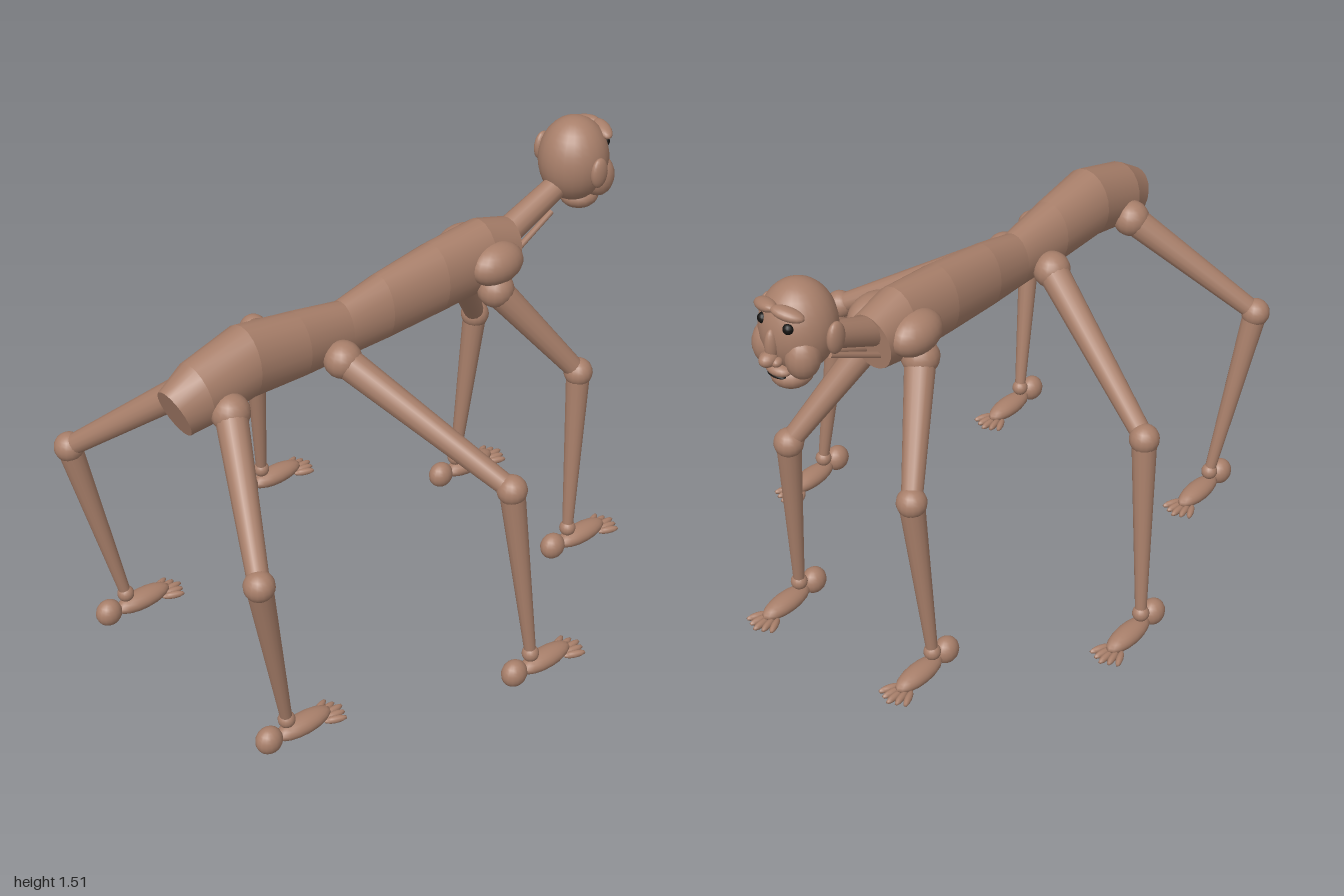
import * as THREE from 'three';

const skin = new THREE.MeshStandardMaterial({ color: 0xa87f6a });
skin.name = 'skin';
const dark = new THREE.MeshStandardMaterial({ color: 0x141210 });
dark.name = 'dark';

const V = (a) => new THREE.Vector3(...a);

function add(parent, name, geometry, material = skin) {
  const mesh = new THREE.Mesh(geometry, material);
  mesh.name = name;
  parent.add(mesh);
  return mesh;
}

// Ellipsoid with radii r at position p
function blob(parent, name, p, r, material = skin, seg = 16) {
  const mesh = add(parent, name, new THREE.SphereGeometry(1, seg, Math.max(8, seg * 0.75)), material);
  mesh.position.set(...p);
  mesh.scale.set(...r);
  return mesh;
}

// Tapered limb from a to b
function limb(parent, name, a, b, ra, rb, seg = 14) {
  const from = V(a), to = V(b), dir = to.clone().sub(from);
  const mesh = add(parent, name, new THREE.CylinderGeometry(rb, ra, dir.length(), seg));
  mesh.position.copy(from).add(to).multiplyScalar(0.5);
  mesh.quaternion.setFromUnitVectors(new THREE.Vector3(0, 1, 0), dir.normalize());
  return mesh;
}

// Torso section between two elliptical rings { z, y, rx, ry, tilt }
function section(a, b) {
  const g = new THREE.CylinderGeometry(1, 1, 1, 20);
  const p = g.attributes.position;
  for (let i = 0; i < p.count; i++) {
    const r = p.getY(i) > 0 ? b : a;
    const c = p.getX(i), s = -p.getZ(i);
    p.setXYZ(i, c * r[2], r[1] + s * r[3], r[0] + s * r[4]);
  }
  g.computeVertexNormals();
  return g;
}

function makeTorso() {
  const torso = new THREE.Group();
  torso.name = 'torso';
  // z, y, half width, half height, tilt
  const rings = [
    [-0.518, 1.14, 0.085, 0.1, -0.013],
    [-0.4, 1.15, 0.092, 0.13, 0],
    [-0.19, 1.138, 0.09, 0.127, 0],
    [0.04, 1.118, 0.078, 0.117, 0],
    [0.2, 1.1, 0.067, 0.1, 0],
    [0.39, 1.12, 0.085, 0.115, 0],
    [0.6, 1.143, 0.098, 0.126, 0],
    [0.785, 1.1, 0.093, 0.112, 0.018],
    [0.868, 1.065, 0.071, 0.086, 0.033],
  ];
  for (let i = 0; i < rings.length - 1; i++) add(torso, 'torsoSection', section(rings[i], rings[i + 1]));
  return torso;
}

function makeHead() {
  const head = new THREE.Group();
  head.name = 'head';
  limb(head, 'neck', [0, 1.165, -0.48], [0, 1.3, -0.8], 0.05, 0.04);
  blob(head, 'cranium', [0, 1.363, -0.832], [0.12, 0.15, 0.122], skin, 24);
  blob(head, 'chin', [0, 1.212, -0.868], [0.065, 0.045, 0.07]);
  blob(head, 'lips', [0, 1.25, -0.925], [0.045, 0.02, 0.03]);
  blob(head, 'mouth', [0, 1.235, -0.935], [0.035, 0.008, 0.016], dark, 12);
  blob(head, 'noseBridge', [0, 1.345, -0.95], [0.02, 0.055, 0.024]);
  blob(head, 'noseTip', [0, 1.305, -0.966], [0.026, 0.024, 0.034]);
  for (const s of [-1, 1]) {
    limb(head, 'throatTendon', [s * 0.03, 1.09, -0.49], [s * 0.015, 1.2, -0.72], 0.011, 0.01, 8);
    blob(head, 'ear', [s * 0.135, 1.36, -0.818], [0.02, 0.054, 0.036]);
    blob(head, 'cheek', [s * 0.065, 1.302, -0.888], [0.055, 0.074, 0.058]);
    blob(head, 'nostril', [s * 0.024, 1.298, -0.955], [0.016, 0.015, 0.02], skin, 12);
    blob(head, 'eye', [s * 0.05, 1.41, -0.928], [0.018, 0.018, 0.018], dark, 12);
    const brow = blob(head, 'brow', [s * 0.043, 1.456, -0.922], [0.055, 0.02, 0.028]);
    brow.rotation.set(0, -s * 0.35, -s * 0.2);
  }
  return head;
}

// Foot whose ankle sits at (x, 0.095, z), toes pointing to -z
function makeFoot(x, z) {
  const foot = new THREE.Group();
  foot.name = 'foot';
  foot.position.set(x, 0, z);
  blob(foot, 'ankle', [0, 0.095, 0], [0.029, 0.029, 0.029]);
  blob(foot, 'heel', [0.003, 0.053, 0.075], [0.04, 0.047, 0.047]);
  blob(foot, 'sole', [0.003, 0.043, -0.065], [0.041, 0.034, 0.11]);
  for (let i = -2; i <= 2; i++) {
    const toe = blob(foot, 'toe', [0.003 + i * 0.02, 0.027, -0.188 + Math.abs(i) * 0.011],
      [0.012, 0.013, 0.04], skin, 10);
    toe.rotation.y = -i * 0.2;
  }
  return foot;
}

function makeLeg(name, s, hip, knee, ankle) {
  const m = ([x, y, z]) => [x * s, y, z];
  const leg = new THREE.Group();
  leg.name = name;
  blob(leg, 'hip', m(hip), [0.062, 0.062, 0.064]);
  limb(leg, 'upperLeg', m(hip), m(knee), 0.052, 0.034);
  blob(leg, 'knee', m(knee), [0.05, 0.05, 0.05]);
  limb(leg, 'lowerLeg', m(knee), m(ankle), 0.042, 0.019);
  leg.add(makeFoot(ankle[0] * s, ankle[2]));
  return leg;
}

export function createModel() {
  const model = new THREE.Group();
  model.name = 'sixLeggedCreature';
  model.add(makeTorso(), makeHead());
  for (const s of [-1, 1]) {
    blob(model, 'shoulder', [s * 0.085, 1.15, -0.4], [0.07, 0.072, 0.105], skin, 20);
    model.add(
      makeLeg('frontLeg', s, [0.095, 1.06, -0.39], [0.258, 0.71, -0.635], [0.292, 0.095, -0.585]),
      makeLeg('middleLeg', s, [0.1, 1.065, 0.28], [0.65, 0.747, 0.055], [0.706, 0.095, 0]),
      makeLeg('rearLeg', s, [0.1, 1.06, 0.73], [0.492, 0.728, 0.945], [0.432, 0.095, 0.81]),
    );
  }
  return model;
}
